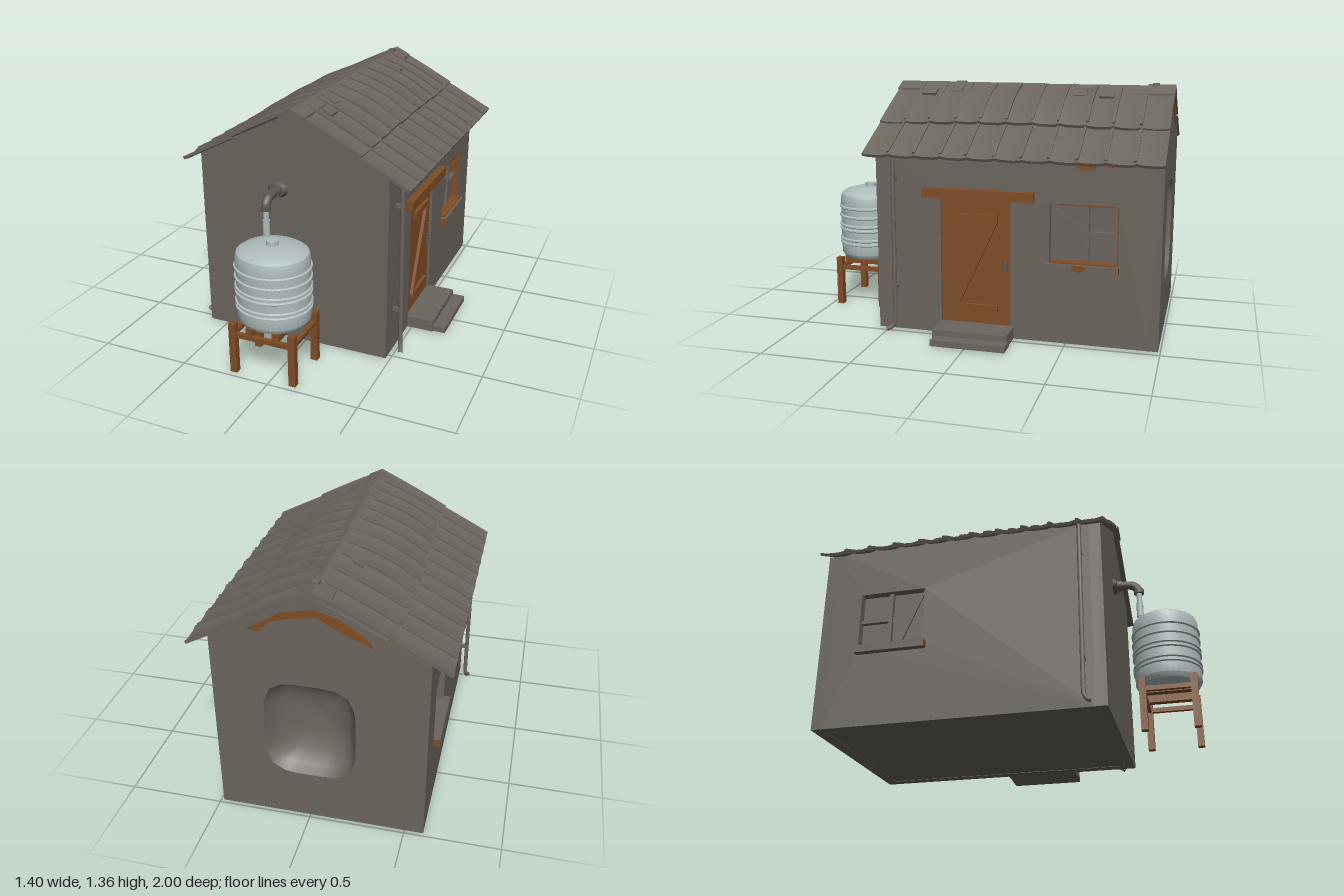
import * as THREE from 'three';
import { toCreasedNormals } from 'three/addons/utils/BufferGeometryUtils.js';

const mat = (name, color, side = THREE.FrontSide) => {
  const m = new THREE.MeshStandardMaterial({ color, side });
  m.name = name;
  return m;
};

export function createModel() {
  const root = new THREE.Group();
  const stone = mat('weathered grey', 0x6b655e);
  const wood = mat('rusty brown wood', 0x7f4e26);
  const steel = mat('pale tank grey', 0xafbcbc);
  const dark = mat('dark pipe grey', 0x5f5953);

  const add = (name, geo, m, x = 0, y = 0, z = 0, parent = root) => {
    const mesh = new THREE.Mesh(geo, m);
    mesh.name = name;
    mesh.position.set(x, y, z);
    parent.add(mesh);
    return mesh;
  };
  // box given by its minimum and maximum corners
  const box = (name, m, x0, x1, y0, y1, z0, z1) =>
    add(name, new THREE.BoxGeometry(x1 - x0, y1 - y0, z1 - z0), m, (x0 + x1) / 2, (y0 + y1) / 2, (z0 + z1) / 2);
  const shapeOf = pts => new THREE.Shape(pts.map(p => new THREE.Vector2(...p)));
  const rect = (a, b, c, d) => [[a, c], [b, c], [b, d], [a, d]];
  const slab = (pts, depth, holes = []) => {
    const s = shapeOf(pts);
    holes.forEach(h => s.holes.push(shapeOf(h)));
    return new THREE.ExtrudeGeometry(s, { depth, bevelEnabled: false });
  };
  const tube = (name, m, pts, r) => add(name, new THREE.TubeGeometry(
    new THREE.CatmullRomCurve3(pts.map(p => new THREE.Vector3(...p)), false, 'catmullrom', 0.3), 32, r, 10), m);

  // gable walls, the back one with a rounded sunken niche
  const gable = [[-0.6, 0.01], [0.48, 0.01], [0.48, 1.045], [-0.04, 1.32], [-0.6, 1.035]];
  const N = 24;
  const ring = (k, dx = 0, dy = 0) => Array.from({ length: N }, (_, i) => {
    const a = i / N * Math.PI * 2, c = Math.cos(a), s = Math.sin(a);
    const r = k * (c ** 4 + s ** 4) ** -0.25;
    return [-0.01 + dx + 0.235 * r * c, 0.555 + dy + 0.275 * r * s];
  });
  add('frontWall', slab(gable, 0.06), stone, 0, 0, 0.49);
  add('backWall', slab(gable, 0.06, [ring(1)]), stone, 0, 0, -0.99);
  const pos = [], idx = [];
  const steps = [[1, 0], [0.9, 0.05], [0.72, 0.1], [0.38, 0.125], [0, 0.13]];
  steps.forEach(([k, d], i) => {
    ring(k, -0.03 * (1 - k), 0.05 * (1 - k)).forEach(p => pos.push(p[0], p[1], -0.99 + d));
    if (i) for (let j = 0; j < N; j++) {
      const a = (i - 1) * N + j, b = (i - 1) * N + (j + 1) % N;
      idx.push(a, a + N, b, b, a + N, b + N);
    }
  });
  const niche = new THREE.BufferGeometry();
  niche.setAttribute('position', new THREE.Float32BufferAttribute(pos, 3));
  niche.setIndex(idx);
  niche.computeVertexNormals();
  add('backNiche', niche, stone);

  // side walls, drawn in (-z, y) and turned to face sideways
  const win = rect(0.41, 0.77, 0.45, 0.765);
  const door = rect(-0.185, 0.2, 0.06, 0.775);
  const sideWall = (name, x, holes) =>
    add(name, slab(rect(-0.49, 0.93, 0.01, 1.045), 0.06, holes).rotateY(Math.PI / 2), stone, x);
  sideWall('doorSideWall', 0.42, [win, door]);
  sideWall('plainSideWall', -0.6, [win]);
  box('floor', stone, -0.595, 0.475, 0.012, 0.03, -0.985, 0.545);

  // windows: recessed pane, broken bars, sill, stained edges
  for (const s of [1, -1]) {
    const face = s > 0 ? 0.48 : -0.6;
    const wbox = (name, m, a, b, ...r) =>
      box(name, m, Math.min(face + s * a, face + s * b), Math.max(face + s * a, face + s * b), ...r);
    wbox('windowPane', stone, -0.055, -0.045, 0.45, 0.765, -0.77, -0.41);
    wbox('windowMullion', stone, -0.045, -0.02, 0.465, 0.765, -0.615, -0.595);
    wbox('windowCrossbar', stone, -0.045, -0.02, 0.6, 0.62, -0.77, -0.595);
    wbox('windowSill', stone, -0.04, 0.035, 0.41, 0.452, -0.775, -0.39);
    const shard = slab([[0.42, 0.75], [0.6, 0.62], [0.54, 0.47]], 0.008).rotateY(Math.PI / 2);
    add('glassShard', shard, stone, face - s * 0.035 - 0.004);
    for (const z of [-0.776, -0.394]) wbox('sillEnd', wood, -0.001, 0.034, 0.412, 0.45, z, z + 0.005);
    if (s > 0) {
      wbox('sillStain', wood, -0.04, 0.02, 0.452, 0.46, -0.765, -0.415);
      wbox('windowEdgeStain', wood, -0.045, -0.002, 0.46, 0.76, -0.77, -0.763);
      wbox('windowTopStain', wood, -0.045, -0.002, 0.757, 0.765, -0.74, -0.45);
    }
  }

  // stained patches as thin plates
  const sidePatch = (pts, x = 0.479) => add('wallStain', slab(pts, 0.004).rotateY(Math.PI / 2), wood, x);
  sidePatch([[0.46, 0.99], [0.49, 0.97], [0.51, 1.0], [0.47, 1.01]]);
  sidePatch([[0.53, 0.97], [0.57, 0.945], [0.64, 0.95], [0.67, 0.975], [0.73, 0.96], [0.73, 1.0], [0.6, 1.0]]);
  sidePatch([[0.17, 0.995], [0.19, 0.975], [0.21, 0.995]]);
  sidePatch([[0.53, 0.43], [0.57, 0.415], [0.61, 0.43], [0.6, 0.45], [0.54, 0.45]], 0.513);
  add('backGableStain', slab([[0.28, 1.12], [0.22, 1.11], [0.17, 1.17], [0.06, 1.2], [-0.06, 1.22], [-0.17, 1.16],
    [-0.26, 1.12], [-0.33, 1.09], [-0.31, 1.13], [-0.18, 1.22], [-0.05, 1.26], [0.1, 1.23]], 0.004), wood, 0, 0, -0.992);

  // door with Z brace, handle, lintel and two steps
  box('door', wood, 0.44, 0.465, 0.06, 0.775, -0.2, 0.185);
  box('doorTopBrace', wood, 0.463, 0.485, 0.65, 0.685, -0.13, 0.1);
  box('doorBottomBrace', wood, 0.463, 0.485, 0.15, 0.185, -0.13, 0.11);
  add('doorDiagonalBrace', new THREE.BoxGeometry(0.02, 0.53, 0.035), wood, 0.473, 0.415, -0.005).rotation.x = -0.43;
  box('doorHandlePlate', dark, 0.463, 0.474, 0.38, 0.44, -0.185, -0.165);
  box('doorHandle', dark, 0.463, 0.5, 0.405, 0.42, -0.18, -0.168);
  box('doorLintel', wood, 0.46, 0.52, 0.768, 0.82, -0.33, 0.28);
  box('upperStep', stone, 0.43, 0.63, 0.01, 0.075, -0.22, 0.19);
  box('lowerStep', stone, 0.6, 0.7, 0.01, 0.043, -0.225, 0.18);

  // roof: two lapped rows of uneven sheets on each slope
  let seed = 7;
  const rnd = () => (seed = (seed * 16807) % 2147483647) / 2147483647;
  const angle = 0.476, zc = -0.21, halfZ = 0.788, count = 11, w = halfZ * 2 / count;
  for (const s of [1, -1]) {
    const turn = new THREE.Group(), slope = new THREE.Group();
    turn.name = s > 0 ? 'doorSideRoof' : 'plainSideRoof';
    turn.position.set(-0.05, 1.325, zc);
    turn.rotation.y = s > 0 ? 0 : Math.PI;
    slope.rotation.z = -angle;
    turn.add(slope);
    root.add(turn);
    for (let i = 0; i < count; i++) for (const row of [0, 1]) {
      const x0 = row ? 0.39 : 0, x1 = row ? 0.725 : 0.42 + rnd() * 0.01;
      const mid = -halfZ + (i + 0.5) * w, lift = Math.sin((i + 0.5) / count * Math.PI);
      const hump = (row ? 0.006 : 0.03) * lift * (0.7 + 0.3 * rnd());
      const lean = 0.012 * (rnd() - 0.3);
      const len = x1 - x0, width = w - 0.001;
      const g = new THREE.BoxGeometry(len, 0.016, width, 6, 1, 4);
      const p = g.attributes.position;
      for (let k = 0; k < p.count; k++) {
        const t = p.getX(k) / len + 0.5, v = p.getZ(k) / width;
        const edge = Math.abs(v) > 0.4 ? 0.007 : 0;
        p.setY(k, p.getY(k) + hump * Math.sin(t * Math.PI) + lean * v * t + edge + (row ? 0 : 0.02 * t * lift + 0.006));
      }
      add('roofSheet', toCreasedNormals(g, 0.4), stone, (x0 + x1) / 2, 0, mid, slope);
      // raised seam strip along the sheet edge
      if (i) {
        const seam = new THREE.BoxGeometry(len * 0.9, 0.012, 0.014, 6, 1, 1), q = seam.attributes.position;
        for (let k = 0; k < q.count; k++) {
          const t = q.getX(k) / len + 0.5;
          q.setY(k, q.getY(k) + hump * Math.sin(t * Math.PI) + (row ? 0 : 0.02 * t * lift + 0.006));
        }
        add('roofSeam', toCreasedNormals(seam, 0.4), stone, (x0 + x1) / 2, 0.017, mid - w / 2 + 0.012 * (rnd() - 0.5), slope);
      }
    }
    // small loose repair plates
    const plates = s > 0 ? [[0.13, -0.43], [0.12, -0.28], [0.13, 0.58]] : [[0.1, -0.14], [0.11, 0.35]];
    for (const [x, z] of plates) add('repairPlate', new THREE.BoxGeometry(0.06, 0.014, 0.08), stone, x, 0.037, z, slope);
  }
  // ridge cap in bent sections
  const cap = (z0, z1, half, top) => add('ridgeCap', slab([[-half, top - half * 0.5 - 0.015], [0, top - 0.025],
    [half, top - half * 0.5 - 0.015], [half, top - half * 0.5], [0, top], [-half, top - half * 0.5]], z1 - z0), stone, -0.04, 0, z0);
  [[-1, -0.85, 0.088, 1.352], [-0.86, -0.25, 0.075, 1.345], [-0.27, 0.2, 0.072, 1.348],
    [0.19, 0.25, 0.1, 1.355], [0.24, 0.585, 0.075, 1.35]].forEach(c => cap(...c));
  box('ridgeKnob', stone, -0.055, -0.02, 1.33, 1.358, -0.91, -0.875);

  // downpipes with kicked-out feet and brackets
  for (const [s, x] of [[1, 0.52], [-1, -0.638]]) {
    tube('downpipe', stone, [[x - s * 0.005, 1.03, 0.44], [x - s * 0.005, 0.9, 0.44], [x, 0.5, 0.44], [x + s * 0.003, 0.09, 0.44],
      [x + s * 0.008, 0.04, 0.45], [x + s * 0.02, 0.02, 0.485]], 0.012);
    for (const y of [0.25, 0.85]) box('pipeBracket', stone, Math.min(x, x - s * 0.045), Math.max(x, x - s * 0.045), y, y + 0.02, 0.43, 0.45);
  }

  // water tank with ribs, dome and lid
  const prof = [[0, 0.275], [0.12, 0.275], [0.18, 0.285], [0.197, 0.31]];
  for (const y of [0.375, 0.4, 0.46, 0.485, 0.54, 0.595])
    prof.push([0.197, y - 0.009], [0.206, y - 0.004], [0.206, y + 0.004], [0.197, y + 0.009]);
  prof.push([0.197, 0.65], [0.19, 0.67], [0.165, 0.687], [0.1, 0.703], [0, 0.708]);
  const tank = toCreasedNormals(new THREE.LatheGeometry(prof.map(p => new THREE.Vector2(...p)), 36), 0.6);
  add('waterTank', tank, steel, -0.043, 0, 0.812).scale.z = 0.91;
  add('tankLid', new THREE.CylinderGeometry(0.03, 0.032, 0.03, 16), steel, -0.043, 0.713, 0.812);

  // tank stand
  for (const x of [-0.215, 0.125]) for (const z of [0.683, 0.95])
    box('standLeg', wood, x - 0.019, x + 0.019, 0, 0.29, z - 0.018, z + 0.018);
  for (const z of [0.683, 0.95]) box('standRail', wood, -0.2, 0.11, 0.21, 0.235, z - 0.012, z + 0.012);
  for (const x of [-0.215, 0.125]) box('standSideRail', wood, x - 0.012, x + 0.012, 0.215, 0.24, 0.69, 0.94);
  for (const x of [-0.12, 0.03]) box('standSlat', wood, x - 0.02, x + 0.02, 0.235, 0.276, 0.68, 0.955);

  // inlet pipe from the wall into the tank
  const flange = add('pipeFlange', new THREE.CylinderGeometry(0.045, 0.06, 0.025, 20), dark, -0.14, 0.893, 0.56);
  flange.rotation.x = Math.PI / 2;
  flange.scale.z = 0.75;
  tube('inletElbow', dark, [[-0.14, 0.893, 0.55], [-0.14, 0.893, 0.62], [-0.14, 0.885, 0.66], [-0.14, 0.86, 0.685], [-0.14, 0.83, 0.69]], 0.024);
  add('elbowCollar', new THREE.CylinderGeometry(0.028, 0.028, 0.025, 14), dark, -0.14, 0.842, 0.69);
  add('wallCollar', new THREE.CylinderGeometry(0.03, 0.03, 0.025, 14), dark, -0.14, 0.893, 0.585).rotation.x = Math.PI / 2;
  add('inletPipe', new THREE.CylinderGeometry(0.015, 0.015, 0.17, 14), steel, -0.14, 0.755, 0.69);
  add('inletCollar', new THREE.CylinderGeometry(0.019, 0.019, 0.09, 14), steel, -0.14, 0.73, 0.69);

  return root;
}
